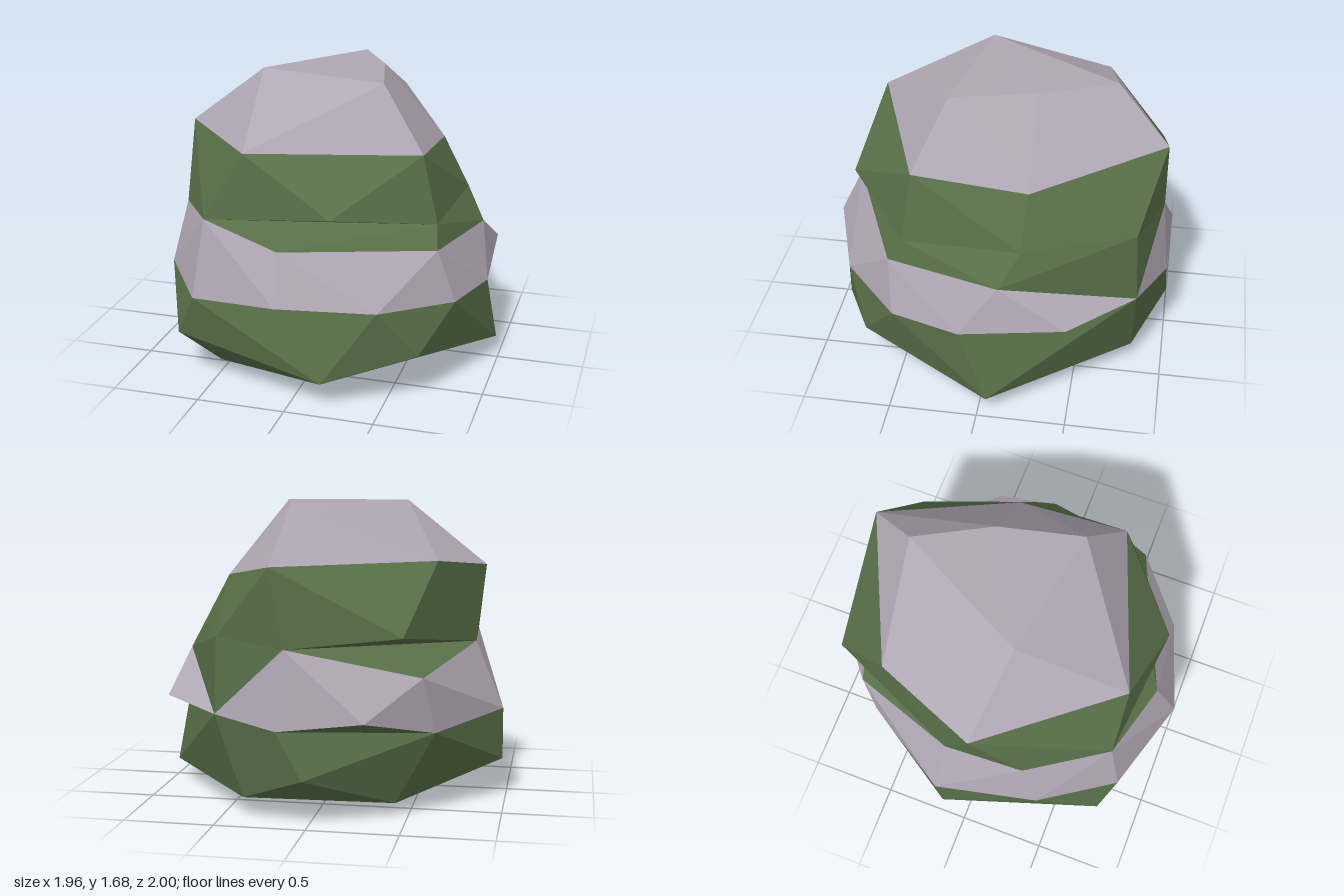
import * as THREE from 'three';

const green = new THREE.MeshStandardMaterial({ color: 0x587049, flatShading: true });
green.name = 'mossGreen';
const mauve = new THREE.MeshStandardMaterial({ color: 0xb0a7b4, flatShading: true });
mauve.name = 'paleMauve';

// Corner points, one small group per level of the boulder
const points = {
  // underside and lower rim
  a: [-0.55, 0, 0.49], b: [-0.70, 0.28, 0.76], c: [0.18, 0.15, 0.92], d: [0.67, 0.28, 0.70],
  e: [0.98, 0.11, -0.05], f: [0.38, 0.11, -0.82], g: [0.02, 0.26, -1.0], h: [-0.43, 0.07, -0.65],
  i: [-0.98, 0.22, -0.14],
  // lower edge of the pale belt
  j: [-0.05, 0.60, 1.0], k: [0.47, 0.56, 0.83], l: [0.83, 0.54, 0.50], m: [0.94, 0.53, 0.11],
  n: [0.90, 0.59, -0.48], o: [0.53, 0.57, -0.84], p: [0.16, 0.52, -0.99], q: [-0.31, 0.58, -1.0],
  r: [-0.65, 0.48, -0.69], s: [-0.98, 0.52, -0.17], t: [-0.86, 0.57, 0.42], u: [-0.58, 0.53, 0.83],
  // upper edge of the pale belt
  v: [-0.07, 0.87, 0.87], w: [0.73, 0.84, 0.53], x: [0.87, 0.81, -0.10], y: [0.125, 0.95, -0.95],
  z: [-0.59, 0.79, -0.77], A: [-0.82, 0.90, -0.15], B: [-0.80, 0.91, 0.31], C: [-0.53, 0.97, 0.75],
  // lower edge of the upper green band
  D: [0.21, 1.06, 0.83], E: [0.71, 0.96, 0.45], F: [0.755, 0.98, -0.21], G: [0.52, 0.99, -0.82],
  H: [-0.50, 1.02, -0.91],
  // foot of the cap
  I: [-0.30, 1.36, 0.74], J: [0.615, 1.33, 0.41], K: [0.60, 1.26, -0.23], L: [0.20, 1.38, -0.95],
  M: [-0.64, 1.39, -0.56], N: [-0.86, 1.32, 0.02],
  // top of the cap
  O: [-0.39, 1.68, 0.11], P: [0.35, 1.67, 0.245], Q: [0.235, 1.67, -0.23], R: [0.02, 1.65, -0.65],
};

// Rings of twelve corners, from the front round by +x; repeated letters merge corners
const rings = {
  bottom: 'aaaaaaaaaaaa',
  rimUnder: 'ceeeefffhiib',
  rim: 'cddeefgghiib',
  beltFoot: 'kklmooprrstu',
  beltLow: 'jklmnopqrstu',
  beltHigh: 'vwwxxoyyzABC',
  neck: 'EEEFFGyyAABC',
  bandLow: 'DEEFFGyHHABC',
  capFoot: 'IJJKKLLLMNNI',
  capHigh: 'OPPQQRRRROOO',
  capTop: 'OOOOOOOOOOOO',
};

// Joins consecutive rings with triangles, folding each quad outward
function shell(name, material, ...names) {
  const positions = [];
  const triangle = (p, q, r) => {
    const area = q.clone().sub(p).cross(r.clone().sub(p)).length();
    if (area > 1e-6) for (const v of [p, q, r]) positions.push(v.x, v.y, v.z);
  };
  for (let level = 0; level + 1 < names.length; level++) {
    const [low, high] = [names[level], names[level + 1]].map(
      (ring) => [...rings[ring]].map((key) => new THREE.Vector3(...points[key])));
    low.forEach((a0, i) => {
      const next = (i + 1) % low.length;
      const a1 = low[next], b0 = high[i], b1 = high[next];
      const normal = a1.clone().sub(a0).cross(b1.clone().sub(a0));
      if (normal.dot(b0.clone().sub(a0)) <= 1e-7) {
        triangle(a0, a1, b1);
        triangle(a0, b1, b0);
      } else {
        triangle(a0, a1, b0);
        triangle(a1, b1, b0);
      }
    });
  }
  const geometry = new THREE.BufferGeometry();
  geometry.setAttribute('position', new THREE.Float32BufferAttribute(positions, 3));
  geometry.computeVertexNormals();
  const mesh = new THREE.Mesh(geometry, material);
  mesh.name = name;
  return mesh;
}

export function createModel() {
  const group = new THREE.Group();
  group.name = 'layeredBoulder';
  group.add(
    shell('lowerLayer', green, 'bottom', 'rimUnder', 'rim', 'beltFoot', 'beltLow'),
    shell('paleBelt', mauve, 'beltLow', 'beltHigh'),
    shell('upperLayer', green, 'beltHigh', 'neck', 'bandLow', 'capFoot'),
    shell('paleCap', mauve, 'capFoot', 'capHigh', 'capTop'),
  );
  return group;
}
